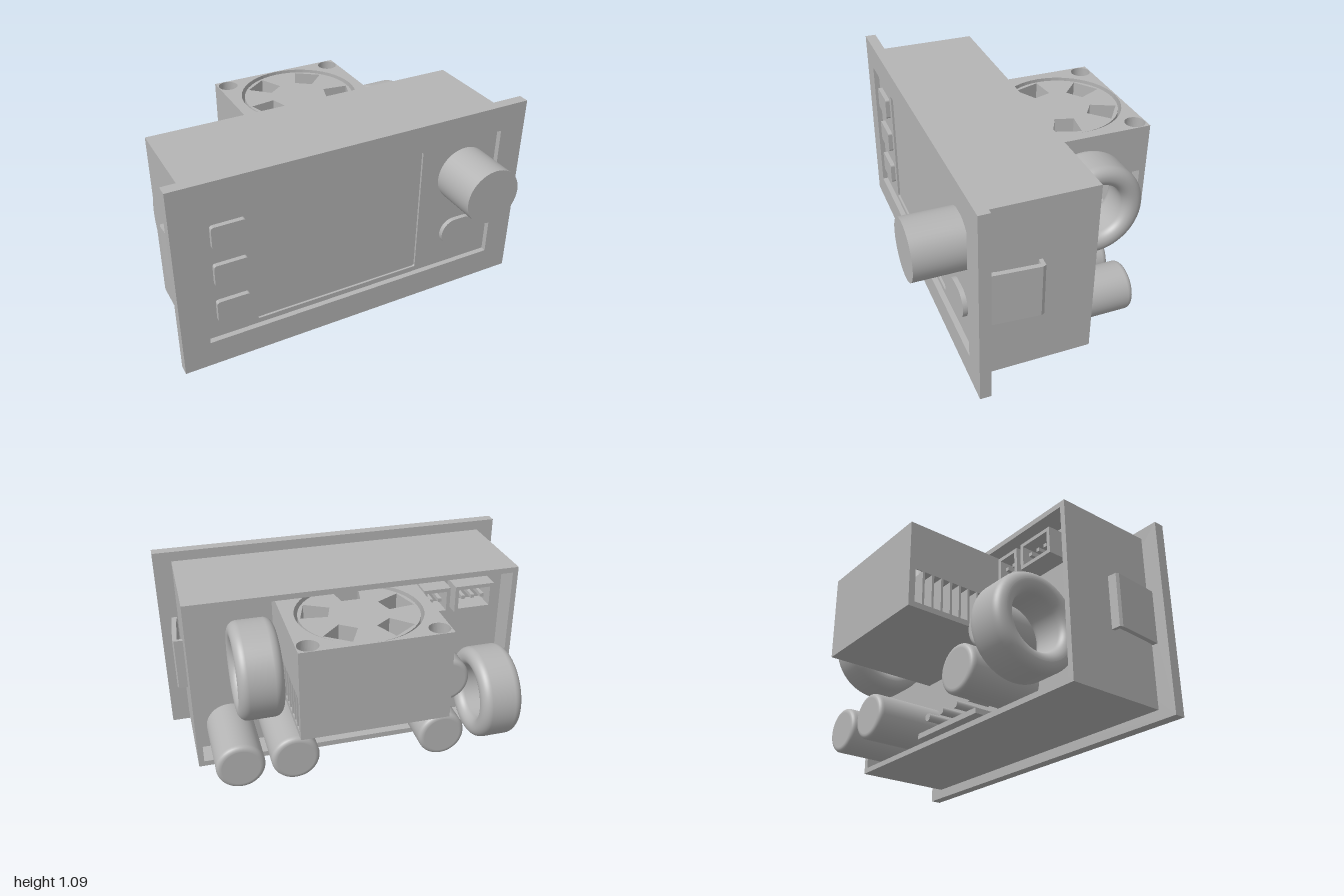
import * as THREE from 'three';

export function createModel() {
  const model = new THREE.Group();
  const grey = new THREE.MeshStandardMaterial({ color: 0xb4b4b4 });
  grey.name = 'plain grey';

  const add = (name, geo) => {
    const mesh = new THREE.Mesh(geo, grey);
    mesh.name = name;
    model.add(mesh);
    return mesh;
  };
  // box given by its limits on each axis
  const box = (name, x0, x1, y0, y1, z0, z1) =>
    add(name, new THREE.BoxGeometry(x1 - x0, y1 - y0, z1 - z0)
      .translate((x0 + x1) / 2, (y0 + y1) / 2, (z0 + z1) / 2));
  // rounded rectangle outline; r = 0 gives sharp corners
  const rect = (x0, x1, y0, y1, r = 0, Type = THREE.Shape) => {
    const s = new Type();
    if (r === 0) {
      s.moveTo(x0, y0).lineTo(x1, y0).lineTo(x1, y1).lineTo(x0, y1).closePath();
      return s;
    }
    s.absarc(x1 - r, y0 + r, r, -Math.PI / 2, 0);
    s.absarc(x1 - r, y1 - r, r, 0, Math.PI / 2);
    s.absarc(x0 + r, y1 - r, r, Math.PI / 2, Math.PI);
    s.absarc(x0 + r, y0 + r, r, Math.PI, Math.PI * 1.5);
    s.closePath();
    return s;
  };
  const extrude = (shape, depth, curveSegments = 12) =>
    new THREE.ExtrudeGeometry(shape, { depth, bevelEnabled: false, curveSegments });
  const plate = (name, shape, z0, z1) => add(name, extrude(shape, z1 - z0).translate(0, 0, z0));

  // Front bezel with recessed panel and screen
  const bezel = rect(-1, 1, 0, 1.09);
  bezel.holes.push(rect(-0.855, 0.85, 0.15, 0.945, 0, THREE.Path));
  plate('bezel', bezel, 0.395, 0.455);
  const panel = rect(-0.855, 0.85, 0.15, 0.945);
  panel.holes.push(rect(-0.58, 0.38, 0.18, 0.92, 0.01, THREE.Path));
  plate('frontPanel', panel, 0.395, 0.425);
  box('screen', -0.58, 0.38, 0.18, 0.92, 0.395, 0.413);

  // Controls
  for (const y of [0.26, 0.485, 0.71]) {
    plate('squareButton', rect(-0.8, -0.62, y, y + 0.127, 0.015), 0.42, 0.45);
  }
  plate('ovalButton', rect(0.53, 0.755, 0.275, 0.44, 0.0824), 0.42, 0.45);
  add('knob', new THREE.CylinderGeometry(0.157, 0.157, 0.275, 48)
    .rotateX(Math.PI / 2).translate(0.645, 0.722, 0.5575));

  // Housing, open at the back, with the circuit board inside
  const walls = rect(-0.9, 0.9, 0.055, 1.035);
  walls.holes.push(rect(-0.87, 0.87, 0.085, 1.005, 0, THREE.Path));
  plate('housingWalls', walls, -0.175, 0.395);
  box('circuitBoard', -0.87, 0.87, 0.085, 1.005, -0.04, 0);

  // Spring clips on both sides, drawn in plan (shape y is -z)
  for (const side of [1, -1]) {
    const pts = [[0.905, -0.395], [0.935, -0.395], [0.94, -0.33], [0.955, -0.125],
      [0.948, -0.108], [0.9, -0.105], [0.9, -0.125], [0.93, -0.128], [0.915, -0.33]]
      .map(([x, y]) => new THREE.Vector2(side * x, y));
    add(side > 0 ? 'leftClip' : 'rightClip',
      extrude(new THREE.Shape(pts), 0.295).rotateX(-Math.PI / 2).translate(0, 0.4, 0));
  }

  // Fan frame with corner holes
  const fx = 0.05, fz = -0.365;
  const frame = rect(-0.33, 0.43, 0.035, 0.695);
  frame.holes.push(new THREE.Path().absarc(fx, -fz, 0.323, 0, Math.PI * 2));
  for (const x of [-0.272, 0.372]) {
    for (const y of [0.093, 0.637]) {
      frame.holes.push(new THREE.Path().absarc(x, y, 0.054, 0, Math.PI * 2));
    }
  }
  add('fanFrame', extrude(frame, 0.265, 24).rotateX(-Math.PI / 2).translate(0, 0.725, 0));

  // Fan rotor with five wedge gaps
  const rotor = new THREE.Shape().absarc(0, 0, 0.306, 0, Math.PI * 2);
  for (let i = 0; i < 5; i++) {
    const a = -Math.PI / 2 + i * Math.PI * 2 / 5;
    const gap = [[0.15, -0.05], [0.285, -0.075], [0.285, 0.075], [0.15, 0.05]].map(([x, y]) =>
      new THREE.Vector2(x, y).rotateAround(new THREE.Vector2(), a));
    rotor.holes.push(new THREE.Path(gap));
  }
  add('fanRotor', extrude(rotor, 0.1, 24).rotateX(-Math.PI / 2).translate(fx, 0.88, fz));

  // Heat sink under the fan: floor, end plate and fins
  box('heatSinkFloor', -0.33, 0.43, 0.51, 0.54, -0.695, -0.035);
  box('heatSinkEnd', -0.33, 0.43, 0.54, 0.725, -0.695, -0.66);
  for (let i = 1; i <= 11; i++) {
    const z = -0.66 + i * 0.0562;
    box('heatSinkFin', -0.33, 0.43, 0.54, 0.725, z - 0.013, z);
  }

  // Capacitors standing on the board, pointing backwards
  const capacitor = (x, y, zEnd) => {
    const r = 0.129, c = 0.025, h = -0.04 - zEnd;
    const pts = [new THREE.Vector2(r, 0), new THREE.Vector2(r, h - c - 0.003)];
    for (let i = 0; i <= 5; i++) {
      const a = i / 5 * Math.PI / 2;
      pts.push(new THREE.Vector2(r - c + c * Math.cos(a), h - c + c * Math.sin(a)));
    }
    pts.push(new THREE.Vector2(r - c - 0.003, h), new THREE.Vector2(0, h));
    add('capacitor', new THREE.LatheGeometry(pts, 40).rotateX(-Math.PI / 2).translate(x, y, -0.04));
  };
  capacitor(0.7, 0.217, -0.457);
  capacitor(0.41, 0.217, -0.457);
  capacitor(-0.4, 0.217, -0.457);
  capacitor(-0.46, 0.482, -0.342);

  // Ring coils with rounded edges, axis along x
  const coilProfile = rect(0.15, 0.255, -0.115, 0.115, 0.05).getPoints(6);
  const coil = (x, y) => add('ringCoil',
    new THREE.LatheGeometry(coilProfile, 56).rotateZ(-Math.PI / 2).translate(x, y, -0.292));
  coil(0.575, 0.7);
  coil(-0.715, 0.355);

  // Pin headers near the top: open shells with pins
  const header = (x0, x1, y0, y1, pins) => {
    const shell = rect(x0, x1, y0, y1);
    shell.holes.push(rect(x0 + 0.02, x1 - 0.02, y0 + 0.02, y1 - 0.02, 0, THREE.Path));
    plate('headerShell', shell, -0.16, -0.04);
    for (let i = 0; i < pins; i++) {
      const x = x0 + (x1 - x0) * (i + 1) / (pins + 1), y = (y0 + y1) / 2;
      box('headerPin', x - 0.01, x + 0.01, y - 0.01, y + 0.01, -0.14, -0.04);
    }
  };
  header(-0.52, -0.37, 0.8, 0.95, 2);
  header(-0.77, -0.55, 0.8, 0.95, 3);

  // Bottom connector: ledge, back block and contact pins
  box('connectorLedge', -0.25, 0.26, 0.09, 0.12, -0.22, -0.04);
  box('connectorBlock', -0.25, 0.26, 0.12, 0.3, -0.08, -0.04);
  for (let i = 0; i < 4; i++) {
    add('contactPin', new THREE.CylinderGeometry(0.022, 0.022, 0.14, 12)
      .rotateX(Math.PI / 2).translate(-0.18 + i * 0.123, 0.2, -0.14));
  }
  return model;
}
